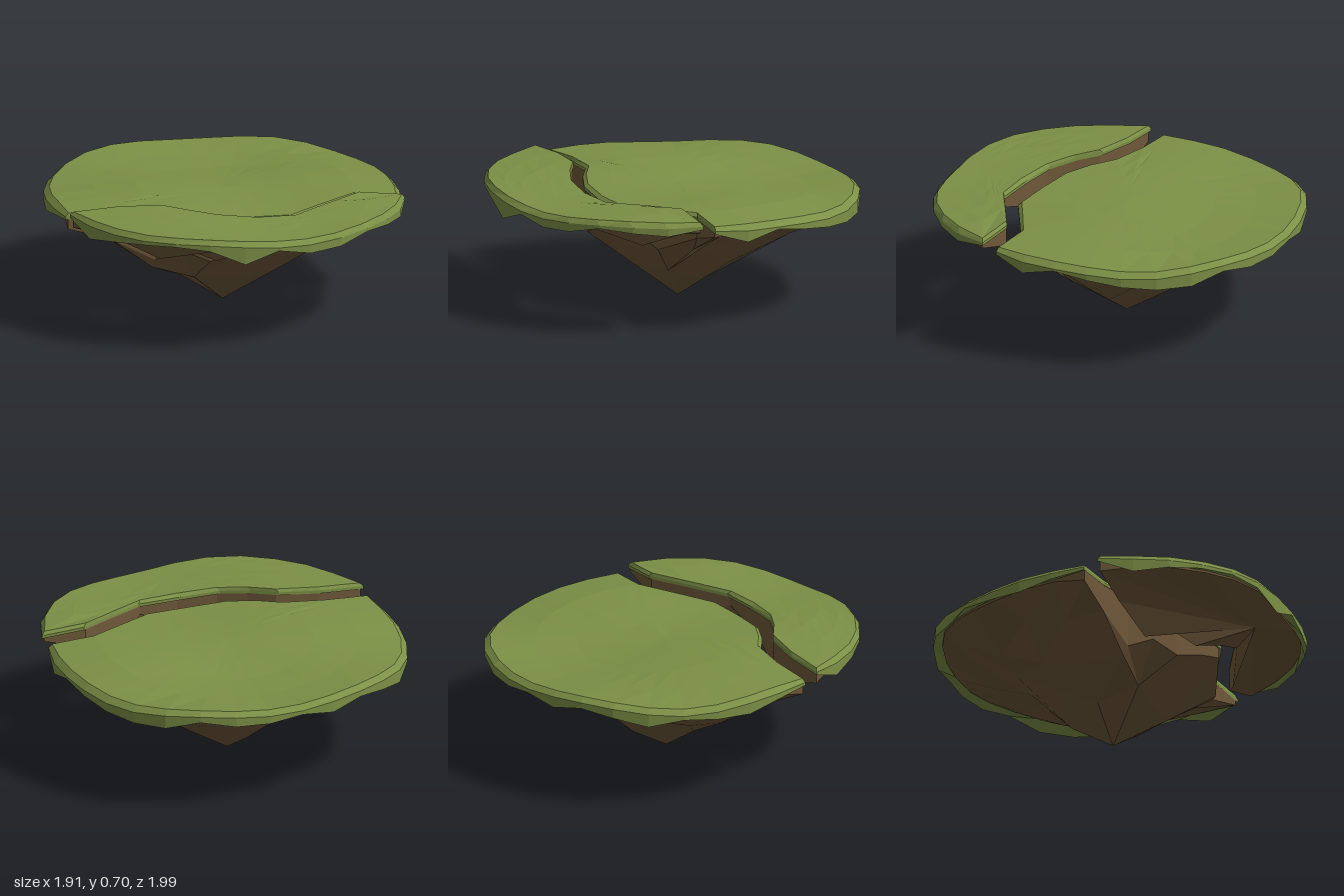
import * as THREE from 'three';

const CZ = -0.04, RX = 0.955, RZ = 0.957, CELL = 0.235;
const grassMat = new THREE.MeshStandardMaterial({ color: 0x7c9046, flatShading: true });
const rockMat = new THREE.MeshStandardMaterial({ color: 0x6e5839, flatShading: true });

const hash = (a, b) => {
  const s = Math.sin(a * 127.1 + b * 311.7) * 43758.5453;
  return s - Math.floor(s);
};
const lerp = THREE.MathUtils.lerp;

// The zigzag split line, left to right: x, z and the height of the rock's lower edge
const CRACK = [[-0.95, 0.15, 0.55], [-0.71, 0.17, 0.47], [-0.48, 0.23, 0.35],
  [-0.36, 0.335, 0.425], [-0.22, 0.425, 0.375], [0, 0.48, 0.46], [0.23, 0.5, 0.535],
  [0.43, 0.405, 0.405], [0.655, 0.3, 0.5], [0.885, 0.345, 0.56]];

// How far the turf hangs down along each slab's outer arc
const BACK_HEM = [0.09, 0.04, 0.06, 0.075, 0.09, 0.1, 0.06, 0.08, 0.07, 0.05, 0.09, 0.06,
  0.08, 0.1, 0.05, 0.07, 0.09, 0.06];
const FRONT_HEM = [0.07, 0.06, 0.045, 0.075, 0.075, 0.045, 0.125, 0.06, 0.045, 0.05, 0.07, 0.1];

// Gently rolling turf height
function turf(x, z) {
  return 0.633 - 0.012 * x + 0.014 * Math.cos(5.5 * (x + 0.45)) + 0.015 * z
    + 0.008 * Math.cos(5 * z) - 0.06 * Math.max(0, z - 0.5)
    - 0.06 * Math.max(0, x - 0.6) - 0.016 * Math.exp(-(((z + 0.55) / 0.3) ** 2));
}

// Rock depth: a coarse lattice of heights over a cone-like profile
const PROFILE = [[0, 0], [0.25, 0.145], [0.5, 0.31], [0.72, 0.45], [0.92, 0.565], [2, 0.6]];
const FIXED = { '1,2': 0.48, '2,2': 0.36, '-1,2': 0.33, '-2,1': 0.3, '0,2': 0.4, '0,1': 0.2,
  '1,1': 0.22, '-1,1': 0.22, '0,-1': 0.14, '1,0': 0.14, '-1,0': 0.155, '0,-2': 0.38,
  '1,-2': 0.4, '-1,-2': 0.39, '2,0': 0.28, '-2,0': 0.28 };
function node(i, j) {
  const key = `${i},${j}`;
  if (key in FIXED) return FIXED[key];
  const r = Math.hypot(i, j) * CELL;
  const k = PROFILE.findIndex((p, n) => n > 0 && r <= p[0]);
  const [a, b] = [PROFILE[k - 1], PROFILE[k]];
  const bump = r > 0.2 && r < 0.8 ? (hash(i, j) - 0.2) * 0.1 : 0;
  return lerp(a[1], b[1], (r - a[0]) / (b[0] - a[0])) + bump;
}

// Moves a point to the nearest lattice node, leaning away from the split
function snap([x, , z]) {
  const i = Math.round(x / CELL), j = Math.round((z - CZ) / CELL - 0.13);
  return [i * CELL, node(i, j), CZ + j * CELL];
}

// Skin through closed rings of [x, y, z] points, leaving out collapsed triangles
function loft(rings, material, name) {
  const n = rings[0].length, pts = rings.flat(), index = [];
  const same = (a, b) => pts[a].every((v, k) => Math.abs(v - pts[b][k]) < 1e-6);
  const tri = (a, b, c) => {
    if (!same(a, b) && !same(b, c) && !same(a, c)) index.push(a, b, c);
  };
  for (let r = 0; r < rings.length - 1; r++) {
    for (let i = 0; i < n; i++) {
      const a = r * n + i, b = r * n + (i + 1) % n;
      tri(a, b, b + n);
      tri(a, b + n, a + n);
    }
  }
  const geo = new THREE.BufferGeometry();
  geo.setAttribute('position', new THREE.Float32BufferAttribute(pts.flat(), 3));
  geo.setIndex(index);
  geo.computeVertexNormals();
  const mesh = new THREE.Mesh(geo, material);
  mesh.name = name;
  return mesh;
}

// Outline: split line plus the part of the rounded rim from angle a0 to a1
function outline(a0, a1, hems) {
  const pts = CRACK.map(([x, z, low]) => ({ x, z, low, crack: true, hem: 0.035 }));
  hems.forEach((hem, i) => {
    const a = lerp(a0, a1, (i + 1) / (hems.length + 1));
    const swell = 1 + 0.033 * Math.sin(2 * a) ** 2;
    const x = RX * swell * Math.sin(a), z = CZ + RZ * swell * Math.cos(a);
    pts.push({ x, z, low: turf(x, z) - 0.055, crack: false, hem });
  });
  return pts;
}

function slab(name, pts, cz, makeUnderside) {
  const group = new THREE.Group();
  group.name = name;
  // Ring moved toward the slab's middle by an inset, then scaled, with a height rule
  const ring = (inset, scale, height) => pts.map(p => {
    const d = Math.hypot(p.x, p.z - cz), s = (1 - inset(p) / d) * scale;
    const x = p.x * s, z = cz + (p.z - cz) * s;
    return [x, height(x, z, p), z];
  });

  // Rock: underside from the middle outward, then the side wall
  const rockInset = p => (p.crack ? 0.016 : 0.05);
  const rock = [
    ...makeUnderside(s => ring(rockInset, s, () => 0.53)),
    ring(rockInset, 1, (x, z, p) => p.low),
    ring(rockInset, 1, (x, z) => turf(x, z) - 0.02),
  ];
  group.add(loft(rock, rockMat, name + 'Rock'));

  // Turf: inner lip, ragged hem, rounded edge, then the top surface
  const none = () => 0, edge = p => (p.crack ? 0.02 : 0.032);
  const grass = [
    ring(rockInset, 1, (x, z, p) => turf(x, z) - (p.crack ? 0.03 : 0.045)),
    ring(none, 1, (x, z, p) => turf(x, z) - p.hem),
    ring(none, 1, (x, z, p) => turf(x, z) - (p.crack ? 0.018 : 0.028)),
  ];
  for (const s of [1, 0.75, 0.5, 0.25, 0]) grass.push(ring(edge, s, turf));
  group.add(loft(grass, grassMat, name + 'Turf'));
  return group;
}

export function createModel() {
  const model = new THREE.Group();
  model.name = 'splitIsland';

  // Large slab with the hanging point
  const back = slab('backSlab', outline(1.157, 4.913, BACK_HEM), CZ,
    ring => [0, 0.25, 0.5, 0.75].map(s => ring(s).map(snap)));

  // Raised crescent with a plain sloping underside; its outline runs the other way round
  const front = slab('frontSlab', outline(1.157, -1.37, FRONT_HEM).reverse(), 0.7,
    ring => [ring(0)]);
  front.position.set(0, 0.038, 0.08);

  model.add(back, front);
  return model;
}
